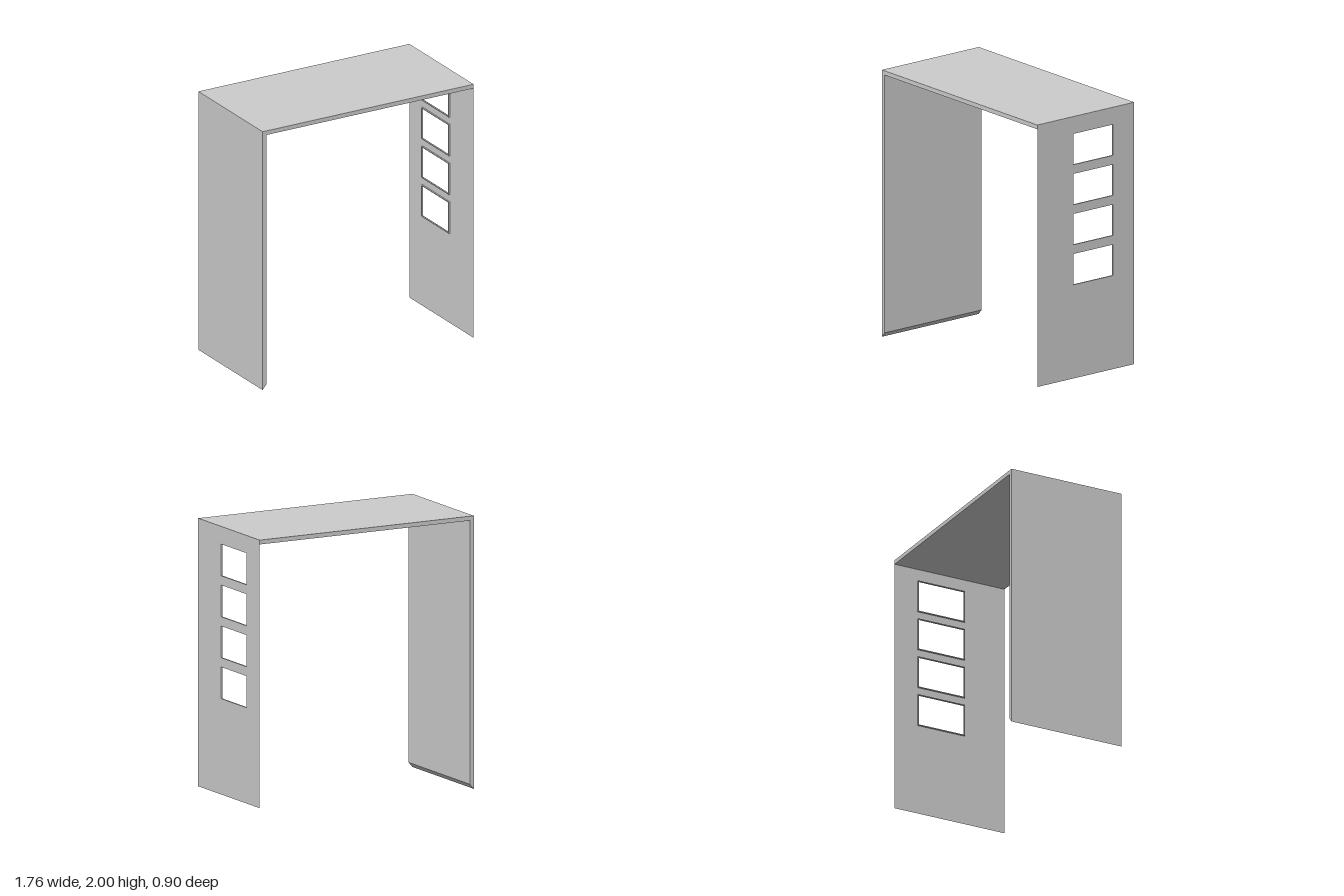
import * as THREE from 'three';

const W = 0.882, D = 0.448, T = 0.032;
const material = new THREE.MeshStandardMaterial({ color: 0xcccccc, side: THREE.DoubleSide });

// Closed polygon from [x, y] points
const polygon = (points, Type = THREE.Shape) => new Type(points.map(([x, y]) => new THREE.Vector2(x, y)));
const rect = (x0, y0, x1, y1) => [[x0, y0], [x1, y0], [x1, y1], [x0, y1]];

function add(parent, name, geometry) {
  const mesh = new THREE.Mesh(geometry, material);
  mesh.name = name;
  parent.add(mesh);
  return mesh;
}

export function createModel() {
  const model = new THREE.Group();
  model.name = 'archedPartition';

  // Thick wall with a bevelled foot, joined to the top slab
  const profile = polygon([
    [-W, 0], [-W + T, 0.037], [-W + T, 2 - T], [W, 2 - T], [W, 2], [-W, 2],
  ]);
  const body = new THREE.ExtrudeGeometry(profile, { depth: 2 * D, bevelEnabled: false });
  body.translate(0, 0, -D);
  add(model, 'wallAndTop', body);

  // Thin side panel, drawn in (-z, y) and turned to face +x
  const side = new THREE.Group();
  side.name = 'windowSide';
  side.rotation.y = Math.PI / 2;
  side.position.x = W;
  model.add(side);

  const panel = polygon(rect(-D, 0.037, D, 2 - T));
  for (let i = 0; i < 4; i++) {
    const y0 = 0.738 + i * 0.3, y1 = y0 + 0.232;
    const opening = rect(-0.115, y0, 0.255, y1);
    panel.holes.push(polygon(opening, THREE.Path));

    // Shallow frame around each opening, on the inner face
    const b = 0.006;
    const frame = polygon(rect(-0.115 - b, y0 - b, 0.255 + b, y1 + b));
    frame.holes.push(polygon(opening, THREE.Path));
    const frameGeometry = new THREE.ExtrudeGeometry(frame, { depth: 0.011, bevelEnabled: false });
    frameGeometry.translate(0, 0, -0.0125);
    add(side, 'windowFrame' + (i + 1), frameGeometry);
  }
  add(side, 'windowPanel', new THREE.ShapeGeometry(panel));

  return model;
}
